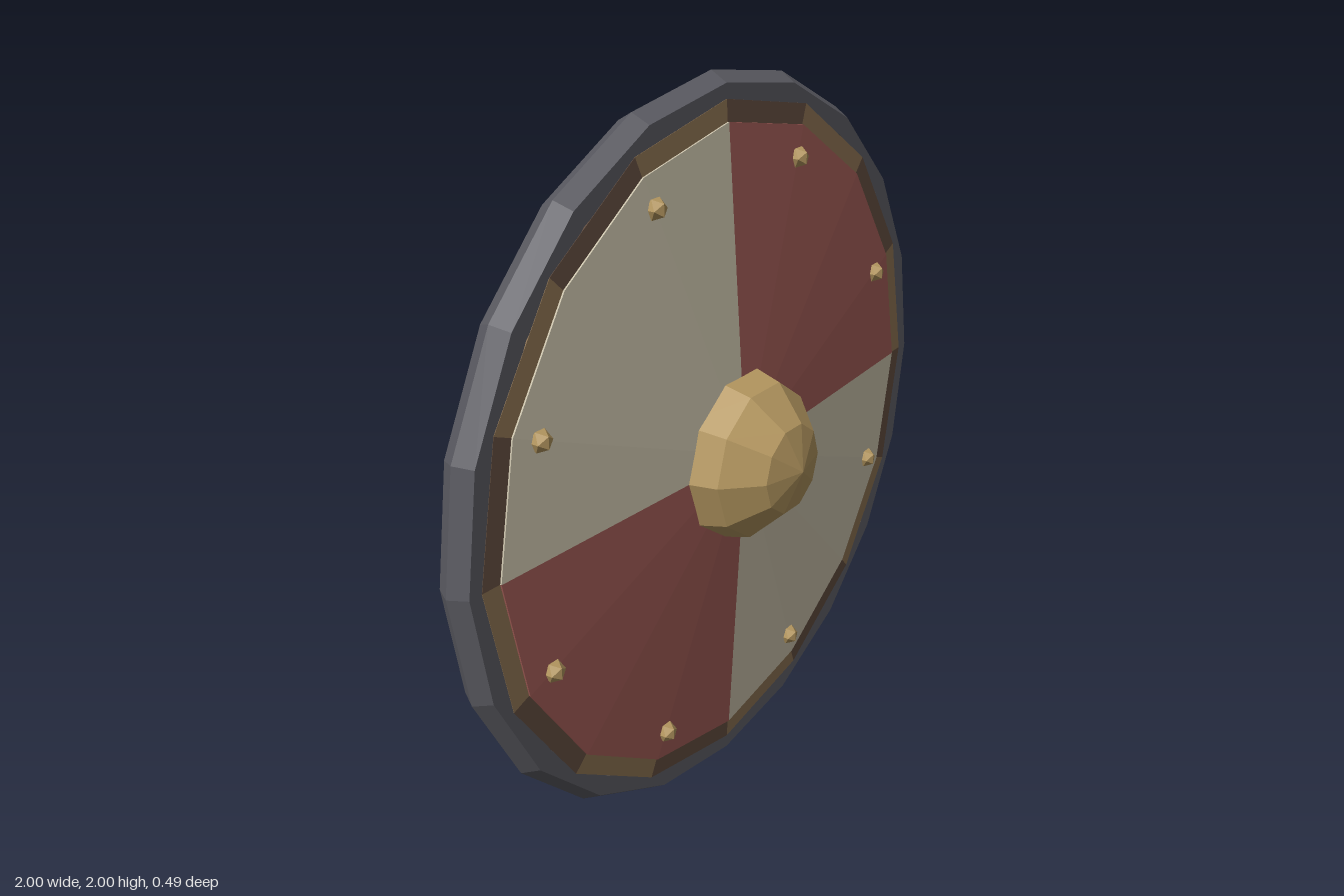
import * as THREE from 'three';

const mat = (name, color) => {
  const m = new THREE.MeshStandardMaterial({ color, flatShading: true });
  m.name = name;
  return m;
};

export function createModel() {
  const cream = mat('cream paint', 0xc9c1aa);
  const red = mat('red paint', 0x9e5a54);
  const lightWood = mat('light wood', 0x8a7050);
  const darkWood = mat('dark wood', 0x614c3e);
  const brass = mat('brass', 0xb3965f);
  const iron = mat('iron', 0x5a5a61);
  const grip = mat('grip wood', 0x6b5041);

  const shield = new THREE.Group();
  shield.name = 'shield';
  // everything is laid out around the disc centre, one unit above the ground
  const disc = new THREE.Group();
  disc.name = 'disc';
  disc.position.y = 1;
  shield.add(disc);

  const add = (name, geometry, material) => {
    const mesh = new THREE.Mesh(geometry, material);
    mesh.name = name;
    disc.add(mesh);
    return mesh;
  };

  // slice of a turned profile [radius, z], axis facing the front
  const slice = (profile, segments, start, length) =>
    new THREE.LatheGeometry(profile.map(([r, z]) => new THREE.Vector2(r, z)), segments, start, length)
      .rotateX(Math.PI / 2);

  // dished wooden body of sixteen wedges
  const wood = [[0, -0.05], [0.935, -0.09], [0.935, 0.001], [0, 0.045]];
  const step = Math.PI / 8;
  for (let i = 0; i < 16; i++) {
    add('woodWedge', slice(wood, 1, i * step, step), i % 2 ? darkWood : lightWood);
  }

  // four painted quarters lying on the wood
  const paint = [[0.88, 0], [0.88, 0.008], [0, 0.062]];
  for (let i = 0; i < 4; i++) {
    add('paintedQuarter', slice(paint, 4, i * Math.PI / 2, Math.PI / 2), i % 2 ? red : cream);
  }

  // iron rim
  add('rim', new THREE.TorusGeometry(0.947, 0.053, 6, 20), iron).position.z = -0.046;

  // central boss
  add('boss', new THREE.SphereGeometry(0.245, 10, 3, 0, Math.PI * 2, 0, Math.PI / 2)
    .rotateX(Math.PI / 2), brass);

  // ring of rivets
  for (let i = 0; i < 8; i++) {
    const a = (i + 0.5) * Math.PI / 4;
    add('rivet', new THREE.IcosahedronGeometry(0.03), brass)
      .position.set(0.795 * Math.cos(a), 0.795 * Math.sin(a), 0.015);
  }

  // bent hexagonal handle: each ring is [y, z, normalY, normalZ], mitred at the bends
  const rings = [
    [0.23, -0.115, 0.7, -0.7],
    [0.115, -0.22, 0.41, -1],
    [-0.115, -0.22, -0.41, -1],
    [-0.23, -0.115, -0.7, -0.7],
  ];
  const bar = new THREE.CylinderGeometry(0.028, 0.028, 1, 6, 3).rotateY(Math.PI / 6);
  const p = bar.attributes.position;
  for (let i = 0; i < p.count; i++) {
    const [y, z, ny, nz] = rings[Math.round((0.5 - p.getY(i)) * 3)];
    const out = p.getZ(i);
    p.setXYZ(i, -p.getX(i), y + out * ny, z + out * nz);
  }
  bar.computeVertexNormals();
  add('handle', bar, grip);

  return shield;
}
